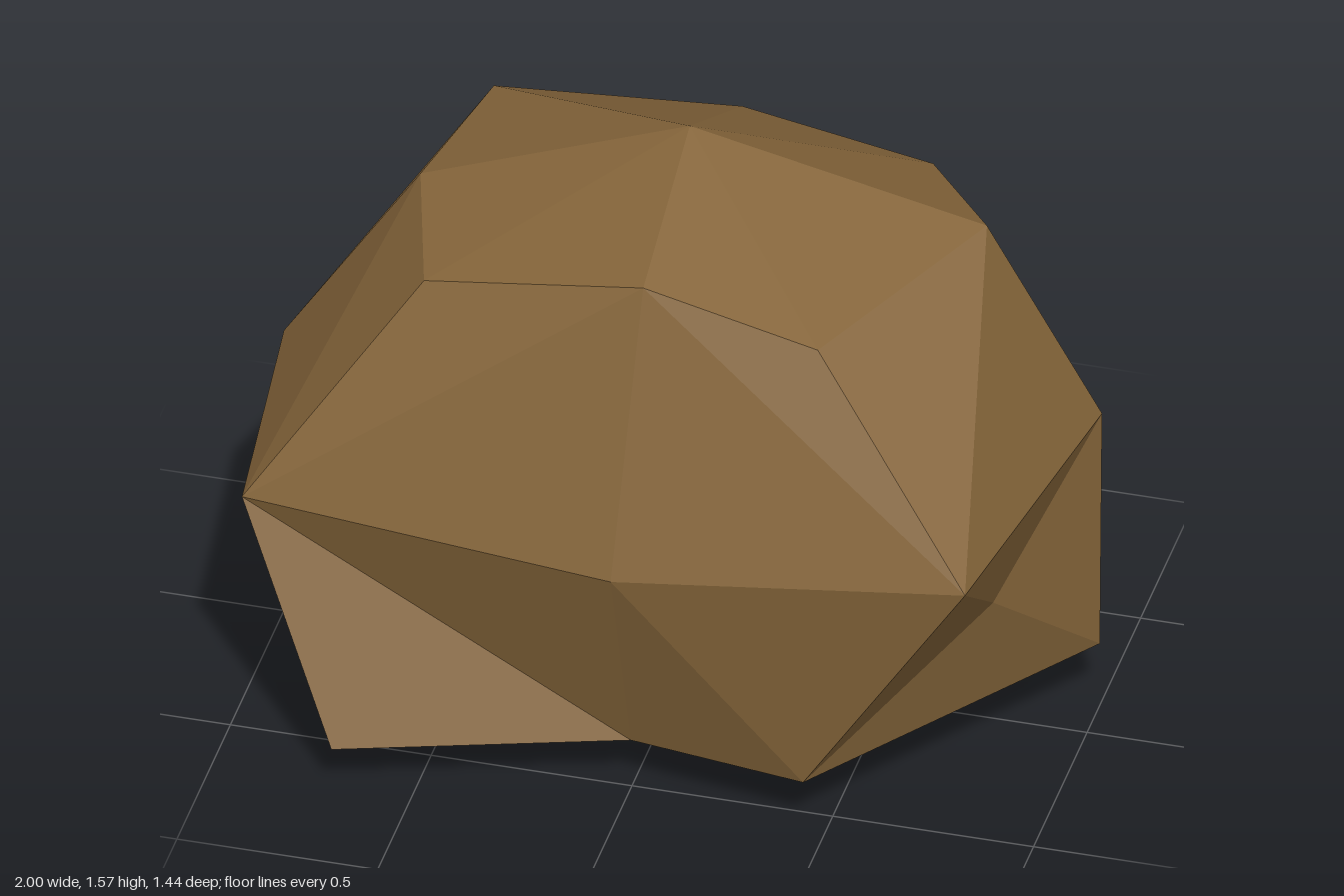
import * as THREE from 'three';

// Rings of the boulder, each walked from back-left-of-view round the outside:
// back -x, back, back +x, +x side, front +x, front, front -x, -x side
const bottomRing = [[-0.62, 0.02, -0.70], [0.04, 0, -0.72], [0.66, 0.20, -0.41], [1, 0.18, -0.12],
  [0.45, 0.15, 0.59], [0, 0.14, 0.51], [-0.69, 0.13, 0.72], [-0.60, 0.14, -0.02]];
const middleRing = [[-0.82, 0.81, -0.54], [-0.23, 0.62, -0.71], [0.69, 0.62, -0.42], [1, 0.84, -0.14],
  [0.88, 0.84, 0.69], [0, 0.73, 0.70], [-0.95, 0.73, 0.58], [-1, 0.82, 0]];
const topRing = [[-0.60, 1.30, -0.46], [0, 1.30, -0.53], [0.51, 1.31, -0.40], [0.74, 1.41, -0.04],
  [0.46, 1.35, 0.49], [0.02, 1.44, 0.47], [-0.55, 1.30, 0.38], [-0.66, 1.34, 0]];
const topCentre = [0, 1.57, -0.04];
const bottomCentre = [0, 0.12, -0.07];
const sideHollow = [0.83, 0.51, 0.24];

export function createModel() {
  const group = new THREE.Group();
  group.name = 'boulder';
  const positions = [];
  const tri = (a, b, c) => positions.push(...a, ...b, ...c);

  // Split a quad (counter-clockwise from outside) along its ridge, or along its valley
  const quad = (a, b, c, d, valley = false) => {
    const [A, B, C, D] = [a, b, c, d].map((p) => new THREE.Vector3(...p));
    const normal = B.clone().sub(A).cross(C.clone().sub(A));
    const ridgeAC = normal.dot(D.sub(A)) <= 0;
    if (ridgeAC !== valley) { tri(a, b, c); tri(a, c, d); }
    else { tri(a, b, d); tri(b, c, d); }
  };

  // Sides
  for (let i = 0; i < 8; i++) {
    const j = (i + 1) % 8;
    quad(middleRing[j], middleRing[i], topRing[i], topRing[j]);
    const lower = [bottomRing[j], bottomRing[i], middleRing[i], middleRing[j]];
    if (i === 3) lower.forEach((p, k) => tri(p, lower[(k + 1) % 4], sideHollow)); // dented facet
    else quad(...lower, i === 5);
  }

  // Top and underside, each four quads round a centre point
  for (let i = 1; i < 8; i += 2) {
    const corner = (i + 1) % 8, next = (i + 2) % 8;
    quad(topCentre, topRing[next], topRing[corner], topRing[i]);
    quad(bottomCentre, bottomRing[i], bottomRing[corner], bottomRing[next]);
  }

  const geometry = new THREE.BufferGeometry();
  geometry.setAttribute('position', new THREE.Float32BufferAttribute(positions, 3));
  geometry.computeVertexNormals();

  const stone = new THREE.MeshStandardMaterial({ color: 0x85653a });
  stone.name = 'brownStone';
  const rock = new THREE.Mesh(geometry, stone);
  rock.name = 'rock';
  group.add(rock);
  return group;
}
